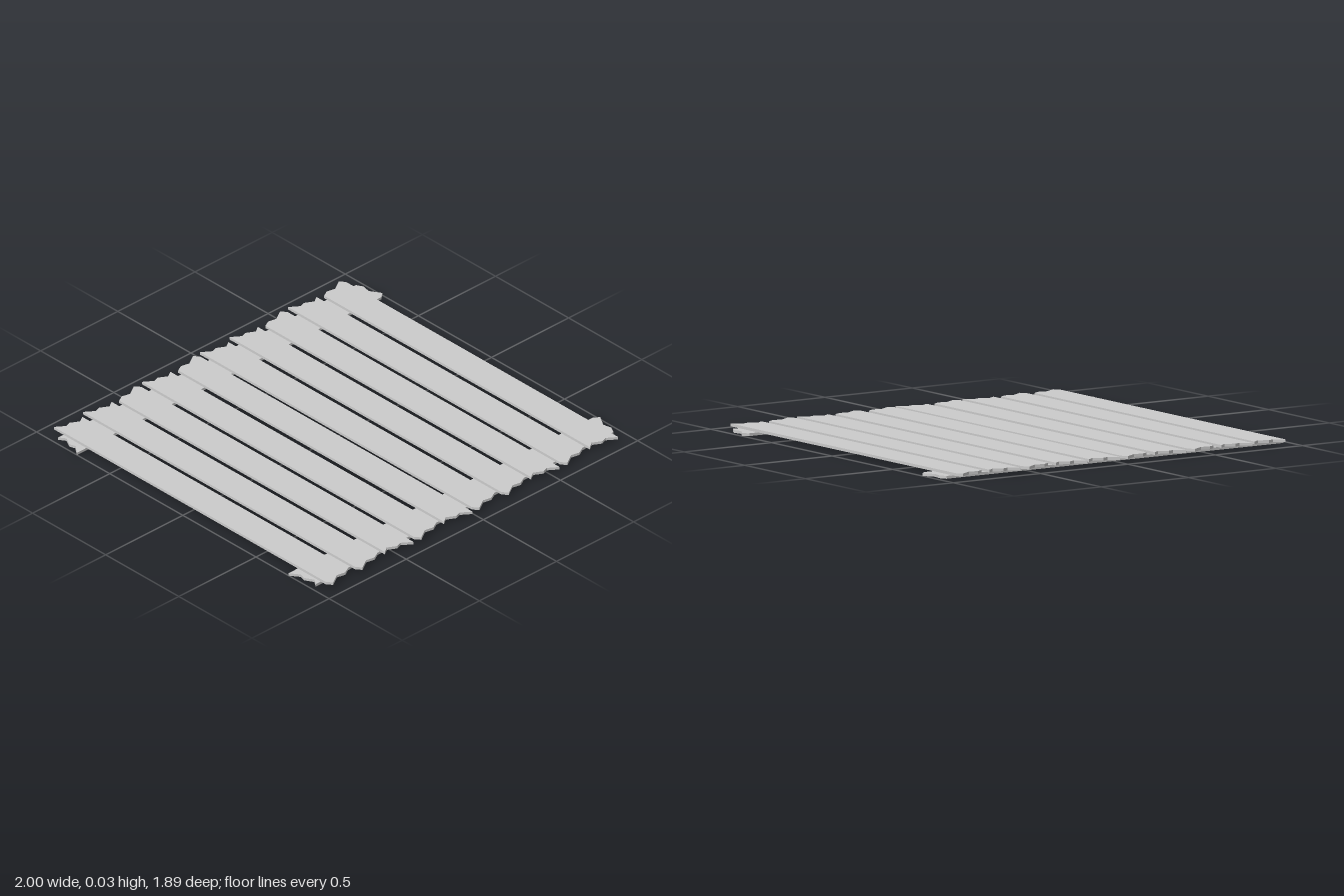
import * as THREE from 'three';

// Splintered plank ends as [across, along] points, both running left to right
const BACK_END = [[-0.079, -0.945], [-0.03, -0.91], [0, -0.92], [0.045, -0.895], [0.079, -0.917]];
const FRONT_END = [[-0.079, 0.915], [-0.057, 0.943], [0, 0.908], [0.045, 0.918], [0.079, 0.9]];
const THICKNESS = 0.0135;

// Flat plank lying along z, its underside on y = 0
function plankGeometry(extraLength = 0, mirror = 1) {
  const outline = [
    ...BACK_END.map(([x, z]) => [x, z - extraLength]),
    ...FRONT_END.map(([x, z]) => [x, z + extraLength]).reverse(),
  ];
  const shape = new THREE.Shape(outline.map(([x, z]) => new THREE.Vector2(x * mirror, -z)));
  const geometry = new THREE.ExtrudeGeometry(shape, { depth: THICKNESS, bevelEnabled: false });
  return geometry.rotateX(-Math.PI / 2);
}

export function createModel() {
  const group = new THREE.Group();
  const material = new THREE.MeshStandardMaterial({ color: 0xcccccc, flatShading: true });

  // Ten deck planks, some turned end for end
  const centres = [-0.862, -0.672, -0.481, -0.291, -0.098, 0.085, 0.276, 0.467, 0.656, 0.847];
  const turned = [2, 4, 7, 9];
  const plank = plankGeometry();
  centres.forEach((x, i) => {
    const mesh = new THREE.Mesh(plank, material);
    mesh.name = `plank${i + 1}`;
    mesh.position.set(x, 0.0145, 0);
    if (turned.includes(i)) mesh.rotation.y = Math.PI;
    group.add(mesh);
  });

  // Two longer cross rails underneath, mirrored front to back
  for (const side of [-1, 1]) {
    const rail = new THREE.Mesh(plankGeometry(0.056, -side), material);
    rail.name = side < 0 ? 'backRail' : 'frontRail';
    rail.rotation.y = Math.PI / 2;
    rail.position.z = side * 0.802;
    group.add(rail);
  }

  return group;
}
